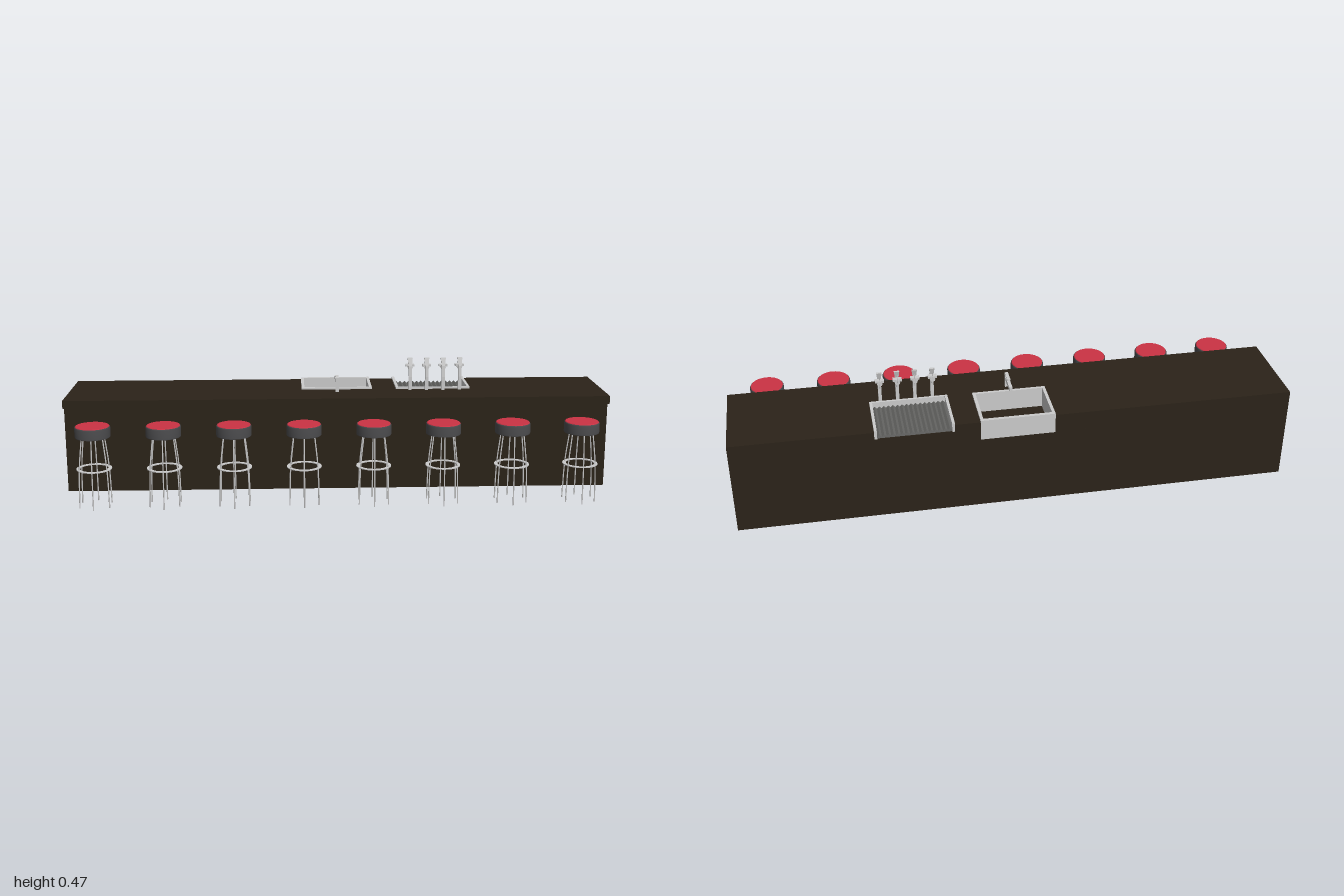
import * as THREE from 'three';

const mat = (color, flat = false) =>
  new THREE.MeshStandardMaterial({ color, flatShading: flat, side: THREE.DoubleSide });
const WOOD = mat(0x2b2319), STEEL = mat(0xcccccc), RED = mat(0xcc3344);
const DARK = mat(0x4c4c4e), RIB = mat(0x6a6a68, true);

function add(parent, name, geometry, material, x = 0, y = 0, z = 0) {
  const mesh = new THREE.Mesh(geometry, material);
  mesh.name = name;
  mesh.position.set(x, y, z);
  parent.add(mesh);
  return mesh;
}

// Box given by its minimum and maximum along each axis
function box(parent, name, material, x0, x1, y0, y1, z0, z1) {
  return add(parent, name, new THREE.BoxGeometry(x1 - x0, y1 - y0, z1 - z0), material,
    (x0 + x1) / 2, (y0 + y1) / 2, (z0 + z1) / 2);
}

const BACK = -0.275, FRONT = 0.04, INNER = -0.085;
const SINK = [-0.133, 0.133], TRAY = [0.223, 0.503];

// Horizontal counter layer with notches cut in from the back edge
function counterLayer(parent, name, y0, y1, notches) {
  const s = new THREE.Shape();
  s.moveTo(-1, -FRONT);
  s.lineTo(1, -FRONT);
  s.lineTo(1, -BACK);
  for (const [a, b] of [...notches].reverse()) {
    s.lineTo(b, -BACK);
    s.lineTo(b, -INNER);
    s.lineTo(a, -INNER);
    s.lineTo(a, -BACK);
  }
  s.lineTo(-1, -BACK);
  const g = new THREE.ExtrudeGeometry(s, { depth: y1 - y0, bevelEnabled: false });
  g.rotateX(-Math.PI / 2);
  add(parent, name, g, WOOD, 0, y0, 0);
}

function makeCounter() {
  const g = new THREE.Group();
  g.name = 'counter';
  counterLayer(g, 'counterBase', 0, 0.28, []);
  counterLayer(g, 'counterMiddle', 0.28, 0.325, [SINK]);
  counterLayer(g, 'counterTop', 0.325, 0.35, [SINK, TRAY]);
  box(g, 'counterOverhang', WOOD, -1, 1, 0.32, 0.35, FRONT, 0.07);
  return g;
}

function makeSink() {
  const g = new THREE.Group(), [a, b] = SINK, t = 0.011;
  g.name = 'sink';
  box(g, 'sinkSide', STEEL, a, a + t, 0.28, 0.357, BACK, INNER);
  box(g, 'sinkSide', STEEL, b - t, b, 0.28, 0.357, BACK, INNER);
  box(g, 'sinkFrontWall', STEEL, a, b, 0.28, 0.357, INNER - t, INNER);
  box(g, 'sinkApron', STEEL, a, b, 0.28, 0.357, BACK - 0.002, BACK + t);
  // Faucet
  box(g, 'faucetColumn', STEEL, -0.007, 0.007, 0.35, 0.4, -0.054, -0.04);
  box(g, 'faucetSpout', STEEL, -0.006, 0.006, 0.38, 0.393, -0.133, -0.054);
  box(g, 'faucetLever', STEEL, -0.006, 0.006, 0.399, 0.403, -0.094, -0.04);
  return g;
}

function makeTray() {
  const g = new THREE.Group(), [a, b] = TRAY, t = 0.01;
  g.name = 'dripTray';
  box(g, 'trayRim', STEEL, a, a + t, 0.323, 0.357, BACK - 0.001, INNER);
  box(g, 'trayRim', STEEL, b - t, b, 0.323, 0.357, BACK - 0.001, INNER);
  box(g, 'trayFrontRim', STEEL, a, b, 0.325, 0.357, INNER - t / 2, INNER + 0.004);
  // Serrated drain floor, ribs running front to back
  const s = new THREE.Shape(), n = 16, w = (b - a - 2 * t) / n;
  s.moveTo(a + t, 0.326);
  for (let i = 0; i < n; i++) {
    s.lineTo(a + t + i * w, 0.332);
    s.lineTo(a + t + (i + 0.5) * w, 0.34);
  }
  s.lineTo(b - t, 0.332);
  s.lineTo(b - t, 0.326);
  add(g, 'trayRibs', new THREE.ExtrudeGeometry(s, { depth: INNER - BACK - t / 2, bevelEnabled: false }),
    RIB, 0, 0, BACK);
  return g;
}

function makeTap() {
  const g = new THREE.Group();
  g.name = 'beerTap';
  // Side profile (z, y) of the column sweeping back into the handle
  const side = [[-0.06, 0.35], [-0.06, 0.4], [-0.064, 0.44], [-0.074, 0.47],
    [-0.083, 0.47], [-0.075, 0.44], [-0.073, 0.4], [-0.073, 0.35]];
  const column = new THREE.ExtrudeGeometry(new THREE.Shape(side.map(p => new THREE.Vector2(...p))),
    { depth: 0.012, bevelEnabled: false });
  column.translate(0, 0, -0.006).rotateY(-Math.PI / 2);
  // Handle widens towards the top
  const p = column.attributes.position;
  for (let i = 0; i < p.count; i++) if (p.getY(i) > 0.45) p.setX(i, p.getX(i) * 1.6);
  column.computeVertexNormals();
  add(g, 'tapColumn', column, STEEL);
  const barrel = new THREE.CylinderGeometry(0.01, 0.01, 0.025, 8);
  barrel.rotateX(Math.PI / 2);
  add(g, 'tapBarrel', barrel, STEEL, 0, 0.435, -0.085);
  box(g, 'tapCrossbar', STEEL, -0.016, 0.016, 0.437, 0.445, -0.094, -0.076);
  add(g, 'tapNozzle', new THREE.CylinderGeometry(0.003, 0.003, 0.014, 8), STEEL, 0, 0.422, -0.092);
  add(g, 'tapPin', new THREE.CylinderGeometry(0.001, 0.001, 0.035, 6), STEEL, 0, 0.446, -0.098);
  return g;
}

function makeStool() {
  const g = new THREE.Group();
  g.name = 'stool';
  const v = (x, y) => new THREE.Vector2(x, y);
  add(g, 'seatRim', new THREE.LatheGeometry([v(0, 0.253), v(0.0615, 0.253), v(0.0615, 0.253),
    v(0.0625, 0.256), v(0.0625, 0.287), v(0.0605, 0.291), v(0.0605, 0.291), v(0, 0.291)], 32), DARK);
  add(g, 'seatCushion', new THREE.CylinderGeometry(0.058, 0.06, 0.003, 32), RED, 0, 0.2918, 0);
  // Flat foot ring
  const ring = new THREE.LatheGeometry([v(0.05, 0.1355), v(0.0625, 0.1355), v(0.0625, 0.1385),
    v(0.05, 0.1385), v(0.05, 0.1355)], 32).toNonIndexed();
  ring.computeVertexNormals();
  add(g, 'footRing', ring, STEEL);
  // Six splayed, gently curved legs
  const path = new THREE.CatmullRomCurve3([[0.042, 0.255], [0.056, 0.137], [0.0605, 0]]
    .map(([r, y]) => new THREE.Vector3(0, y, r)));
  const leg = new THREE.TubeGeometry(path, 6, 0.0023, 6);
  for (let i = 0; i < 6; i++) add(g, 'stoolLeg', leg, STEEL).rotation.y = i * Math.PI / 3;
  return g;
}

export function createModel() {
  const model = new THREE.Group();
  model.name = 'bar';
  model.add(makeCounter(), makeSink(), makeTray());
  for (let i = 0; i < 4; i++) {
    const tap = makeTap();
    tap.position.x = 0.275 + i * 0.0623;
    model.add(tap);
  }
  for (let i = 0; i < 8; i++) {
    const stool = makeStool();
    stool.position.set(-0.872 + i * 0.248, 0, 0.2125);
    model.add(stool);
  }
  return model;
}
